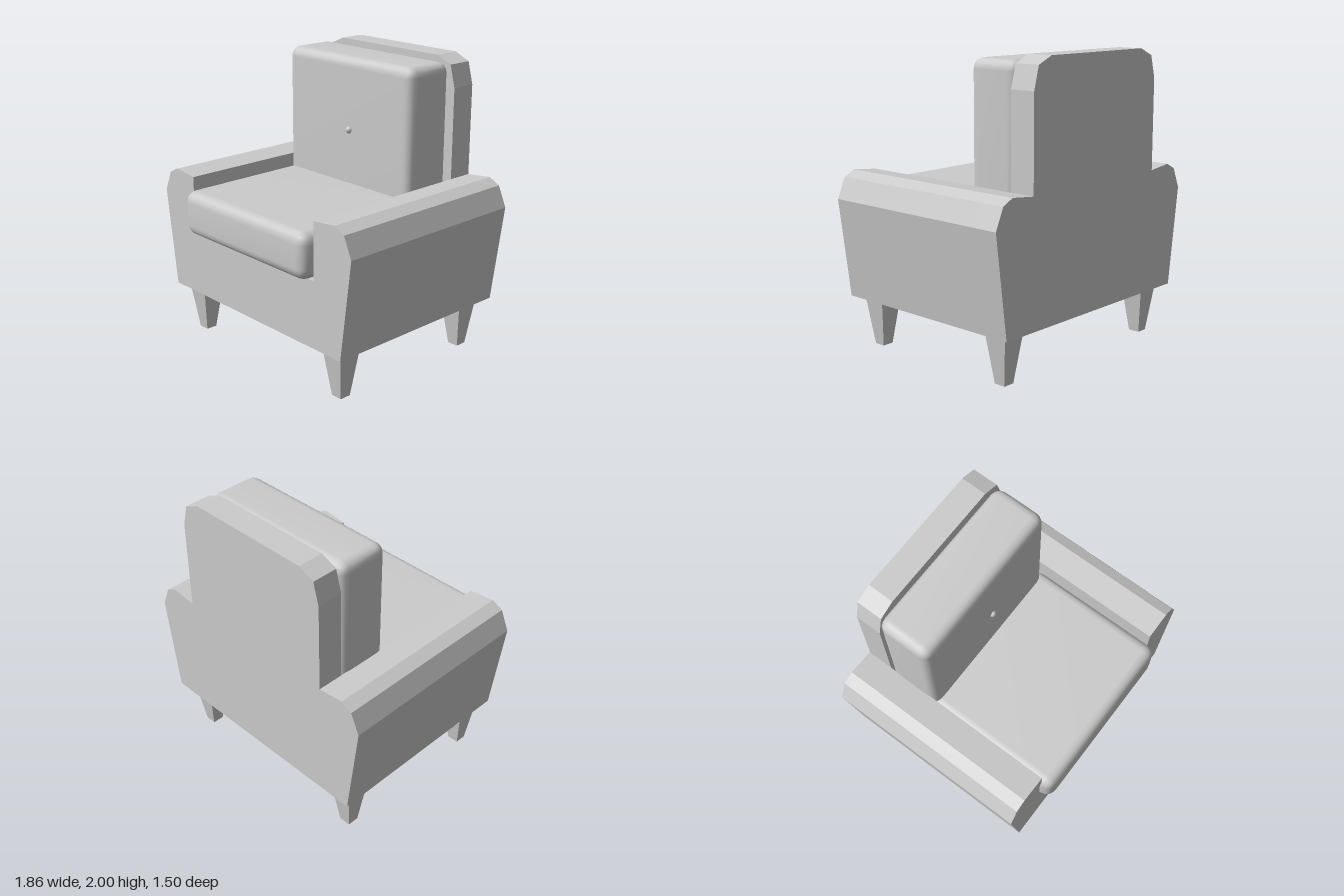
import * as THREE from 'three';
import { mergeVertices } from 'three/addons/utils/BufferGeometryUtils.js';
import { RoundedBoxGeometry } from 'three/addons/geometries/RoundedBoxGeometry.js';

const material = new THREE.MeshStandardMaterial({ color: 0xcccccc });

function addMesh(group, name, geometry, x, y, z) {
  const mesh = new THREE.Mesh(geometry, material);
  mesh.name = name;
  mesh.position.set(x, y, z);
  group.add(mesh);
  return mesh;
}

// Extrudes a symmetrical outline, given as its +x half from bottom to top.
function symmetricSlab(half, depth) {
  const mirrored = half.map(([x, y]) => [-x, y]).reverse();
  const points = [...half, ...mirrored].map(([x, y]) => new THREE.Vector2(x, y));
  return new THREE.ExtrudeGeometry(new THREE.Shape(points), { depth, bevelEnabled: false });
}

// Soft cushion: rounded box with normals blended over its edges.
function cushionGeometry(w, h, d, radius) {
  const box = new RoundedBoxGeometry(w, h, d, 2, radius);
  box.deleteAttribute('normal');
  box.deleteAttribute('uv');
  const geometry = mergeVertices(box, 1e-4);
  geometry.computeVertexNormals();
  return geometry;
}

// Square leg, tapering to the floor.
function legGeometry(height) {
  const geometry = new THREE.CylinderGeometry(0.17 / Math.SQRT2, 0.08 / Math.SQRT2, height, 4, 1).toNonIndexed();
  geometry.rotateY(Math.PI / 4);
  geometry.computeVertexNormals();
  return geometry;
}

export function createModel() {
  const group = new THREE.Group();
  group.name = 'armchair';

  // Seat base and arms share one outline, open in the middle
  const side = [[0.842, 0.34], [0.932, 1.02], [0.87, 1.16], [0.79, 1.2], [0.605, 1.18]];
  addMesh(group, 'baseAndArms', symmetricSlab([...side, [0.605, 0.795]], 1.24), 0, 0, -0.57);

  // Back panel continues the outline up to the top
  const top = [[0.605, 1.8], [0.565, 1.95], [0.45, 2]];
  addMesh(group, 'backPanel', symmetricSlab([...side, ...top], 0.18), 0, 0, -0.75);

  // Cushions
  addMesh(group, 'seatCushion', cushionGeometry(1.22, 0.31, 1.02, 0.075), -0.012, 0.945, 0.24);
  addMesh(group, 'backCushion', cushionGeometry(1.18, 0.99, 0.38, 0.07), -0.02, 1.475, -0.38);
  addMesh(group, 'backButton', new THREE.SphereGeometry(0.024, 10, 8), 0.012, 1.475, -0.19);

  // Legs
  const leg = legGeometry(0.345);
  for (const x of [-0.705, 0.692]) {
    for (const z of [0.52, -0.592]) addMesh(group, 'leg', leg, x, 0.1725, z);
  }
  return group;
}
